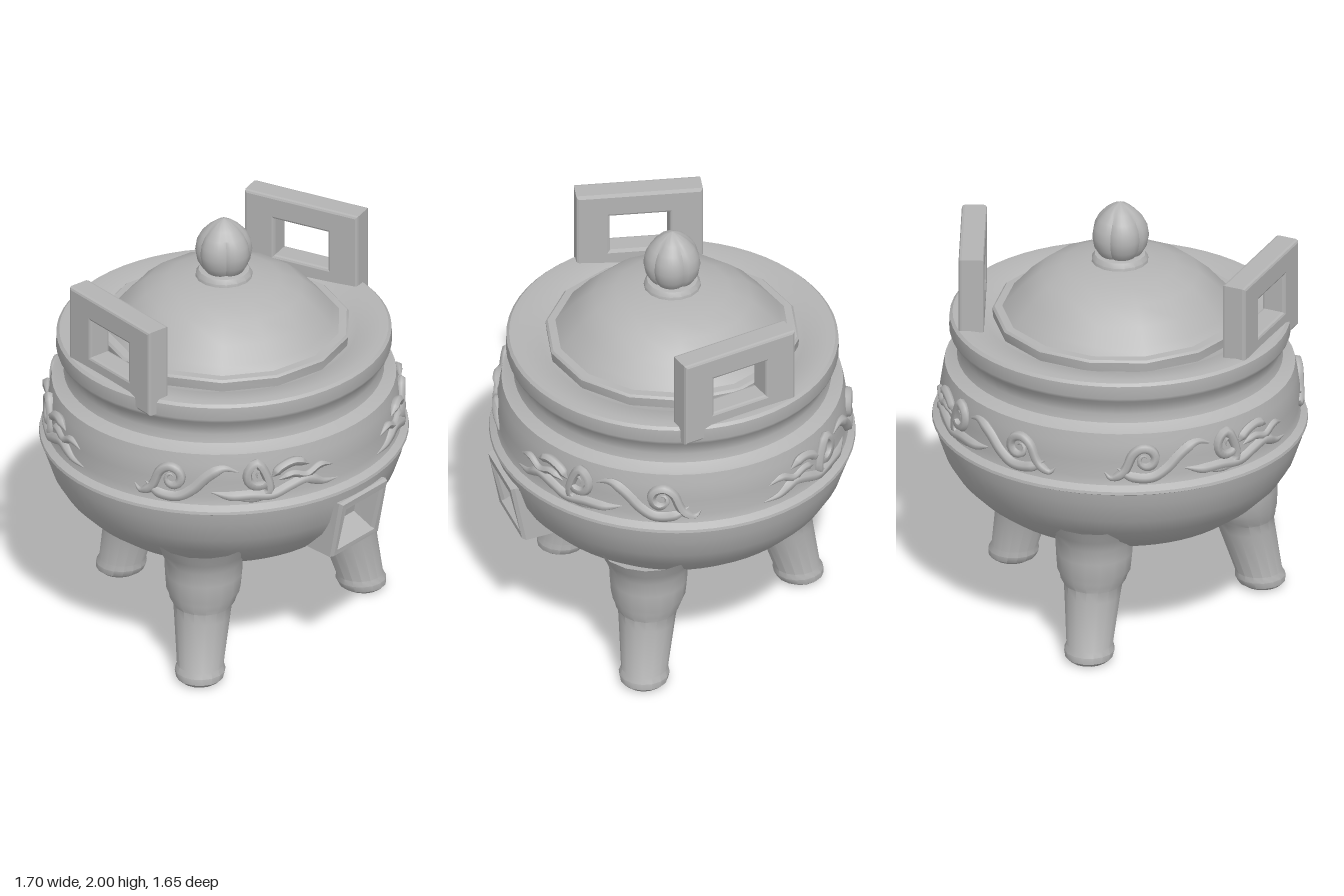
import * as THREE from 'three';
import { toCreasedNormals } from 'three/addons/utils/BufferGeometryUtils.js';

const stone = new THREE.MeshStandardMaterial({ color: 0xb4b4b4 });
stone.name = 'plain grey';

const DEPTH = 0.97; // the vessel is slightly shallower than wide
const rad = THREE.MathUtils.degToRad;

function add(parent, name, geometry) {
  const mesh = new THREE.Mesh(geometry, stone);
  mesh.name = name;
  parent.add(mesh);
  return mesh;
}

function lathe(profile, segments) {
  return new THREE.LatheGeometry(profile.map(([r, y]) => new THREE.Vector2(r, y)), segments);
}

// Round belly, belt, neck and rim, with a window left open for the front port
function bodyGeometry() {
  const flat = lathe([
    [0.001, 0.42], [0.2, 0.43], [0.4, 0.475], [0.57, 0.545], [0.66, 0.61], [0.74, 0.69], [0.79, 0.77],
    [0.825, 0.87], [0.835, 0.925], [0.848, 0.932], [0.845, 0.945], [0.815, 0.965], [0.805, 1.0], [0.812, 1.08],
    [0.8, 1.16], [0.79, 1.21], [0.775, 1.215], [0.735, 1.24], [0.725, 1.28], [0.735, 1.33], [0.765, 1.36],
    [0.77, 1.375], [0.768, 1.435], [0.755, 1.447], [0.72, 1.45], [0.61, 1.435], [0.57, 1.41], [0.001, 1.41],
  ], 60).toNonIndexed();
  flat.scale(1, 1, DEPTH);
  const p = flat.attributes.position.array;
  const kept = [];
  for (let i = 0; i < p.length; i += 9) {
    const x = (p[i] + p[i + 3] + p[i + 6]) / 3;
    const y = (p[i + 1] + p[i + 4] + p[i + 7]) / 3;
    const z = (p[i + 2] + p[i + 5] + p[i + 8]) / 3;
    const inWindow = z > 0 && y > 0.61 && y < 0.87 && Math.abs(Math.atan2(x, z / DEPTH)) < rad(12);
    if (!inWindow) for (let k = 0; k < 9; k++) kept.push(p[i + k]);
  }
  const g = new THREE.BufferGeometry();
  g.setAttribute('position', new THREE.Float32BufferAttribute(kept, 3));
  return toCreasedNormals(g, 0.6);
}

// Square port: a loft through rectangles, out along the frame and back into the recess
function portGeometry() {
  const rings = [ // half width, bottom y, top y, z at bottom, z at top
    [0.155, 0.6, 0.87, 0.58, 0.7], [0.163, 0.592, 0.882, 0.75, 0.805], [0.155, 0.6, 0.875, 0.768, 0.822],
    [0.132, 0.622, 0.846, 0.768, 0.82], [0.122, 0.632, 0.838, 0.755, 0.805], [0.105, 0.69, 0.825, 0.67, 0.7],
  ];
  const corners = rings.map(([w, y0, y1, z0, z1]) => [[-w, y0, z0], [w, y0, z0], [w, y1, z1], [-w, y1, z1]]);
  const pos = [];
  const quad = (a, b, c, d) => pos.push(...a, ...b, ...c, ...a, ...c, ...d);
  for (let k = 0; k < corners.length - 1; k++) {
    for (let i = 0; i < 4; i++) {
      const j = (i + 1) % 4;
      quad(corners[k][i], corners[k][j], corners[k + 1][j], corners[k + 1][i]);
    }
  }
  quad(...corners[corners.length - 1]);
  const g = new THREE.BufferGeometry();
  g.setAttribute('position', new THREE.Float32BufferAttribute(pos, 3));
  return toCreasedNormals(g, 0.3);
}

// Splayed leg: a turned profile sheared outward towards the foot
function legGeometry(azimuth, footRadius) {
  const g = lathe([
    [0.001, 0], [0.085, 0.002], [0.108, 0.02], [0.115, 0.05], [0.106, 0.075], [0.128, 0.3], [0.134, 0.35],
    [0.15, 0.375], [0.155, 0.395], [0.168, 0.42], [0.175, 0.5], [0.178, 0.57], [0.2, 0.62], [0.23, 0.68],
  ], 16);
  const p = g.attributes.position;
  for (let i = 0; i < p.count; i++) {
    const y = p.getY(i);
    const out = footRadius - 0.1 * Math.min(y / 0.4, 1.1);
    p.setX(i, p.getX(i) + Math.sin(azimuth) * out);
    p.setZ(i, p.getZ(i) + Math.cos(azimuth) * out);
  }
  return toCreasedNormals(g, 0.6);
}

// Square loop handle
function handleGeometry() {
  const rect = (path, w, y0, y1) =>
    path.moveTo(-w, y0).lineTo(w, y0).lineTo(w, y1).lineTo(-w, y1).closePath();
  const shape = rect(new THREE.Shape(), 0.275, 1.39, 1.79);
  shape.holes.push(rect(new THREE.Path(), 0.148, 1.49, 1.7));
  const g = new THREE.ExtrudeGeometry(shape, {
    depth: 0.086, bevelEnabled: true, bevelThickness: 0.014, bevelSize: 0.012, bevelSegments: 2,
  });
  return g.translate(0, 0, -0.043);
}

// Tapered cloud stroke following points [degrees round the belt, height]
function strokeGeometry(points, width, centre, side) {
  const path = new THREE.CatmullRomCurve3(points.map(([u, y]) => {
    const a = rad(centre + u) * side;
    return new THREE.Vector3(Math.sin(a) * 0.812, y, Math.cos(a) * 0.812 * DEPTH);
  }));
  const steps = 36, sides = 6;
  const g = new THREE.TubeGeometry(path, steps, width, sides);
  const p = g.attributes.position;
  const v = new THREE.Vector3();
  for (let i = 0; i <= steps; i++) {
    const t = i / steps;
    const c = path.getPointAt(t);
    const taper = Math.min(1, 0.1 + 4 * t, 0.1 + 6 * (1 - t));
    for (let j = 0; j <= sides; j++) {
      const n = i * (sides + 1) + j;
      v.fromBufferAttribute(p, n).sub(c).multiplyScalar(taper).add(c);
      p.setXYZ(n, v.x, v.y, v.z);
    }
  }
  g.computeVertexNormals();
  return g;
}

// Spiral curl that runs out into a tail
function curl(u, y, size, start, turn, tail) {
  const points = [];
  for (let i = 0; i <= 10; i++) {
    const a = start + turn * (i / 10) * Math.PI * 2.6;
    const r = size * (0.2 + 0.8 * i / 10);
    points.push([u + Math.cos(a) * r / 0.0143, y + Math.sin(a) * r]);
  }
  return points.concat(tail);
}

// One cloud scroll: strokes with their widths
const cloudStrokes = [
  [[[-35, 1.0], [-29, 1.01], [-23, 1.05], [-17, 1.03], [-11, 1.0], [-4, 1.01], [3, 1.01], [9, 1.03]], 0.025],
  [[[-33, 1.08], [-28, 1.1], [-23, 1.07], [-18, 1.09], [-13, 1.07]], 0.018],
  [curl(-7, 1.1, 0.07, -0.5, 1, [[-10, 1.02], [-3, 0.99], [2, 1.0]]), 0.022],
  [curl(22, 1.09, 0.062, 2.4, -1, [[29, 1.03], [33, 1.0], [35, 1.03]]), 0.022],
  [[[0, 1.13], [5, 1.15], [10, 1.11], [15, 1.04], [20, 1.0], [27, 1.01], [31, 1.05]], 0.026],
  [[[-24, 1.12], [-19, 1.15], [-14, 1.13], [-11, 1.09]], 0.022],
];

// Lotus-bud knob with rounded petals
function budGeometry() {
  const g = lathe([
    [0.001, 1.73], [0.08, 1.735], [0.098, 1.755], [0.118, 1.79], [0.127, 1.84], [0.12, 1.885],
    [0.1, 1.925], [0.068, 1.96], [0.035, 1.985], [0.001, 2],
  ], 40);
  const p = g.attributes.position;
  for (let i = 0; i < p.count; i++) {
    const a = Math.atan2(p.getX(i), p.getZ(i));
    const k = 0.9 + 0.13 * Math.sqrt(Math.abs(Math.cos(a * 2.5 + 0.4)));
    p.setX(i, p.getX(i) * k);
    p.setZ(i, p.getZ(i) * k);
  }
  return toCreasedNormals(g, 0.6);
}

export function createModel() {
  const model = new THREE.Group();
  model.name = 'tripodCenser';

  add(model, 'body', bodyGeometry());
  add(model, 'frontPort', portGeometry());

  // Domed lid with a thin flange and a collar under the knob
  add(model, 'lid', toCreasedNormals(lathe([
    [0.57, 1.42], [0.575, 1.465], [0.565, 1.475], [0.53, 1.478], [0.5, 1.51], [0.44, 1.58],
    [0.36, 1.65], [0.26, 1.69], [0.15, 1.71], [0.001, 1.72],
  ], 14), 0.6));
  add(model, 'knobCollar', toCreasedNormals(lathe([
    [0.13, 1.7], [0.128, 1.725], [0.115, 1.745], [0.09, 1.75], [0.001, 1.75],
  ], 16), 0.6));
  add(model, 'knob', budGeometry());

  // Two front legs and one at the back
  add(model, 'leftLeg', legGeometry(rad(60), 0.67));
  add(model, 'rightLeg', legGeometry(rad(-60), 0.67));
  add(model, 'backLeg', legGeometry(Math.PI, 0.61));

  for (const side of [1, -1]) {
    const label = side > 0 ? 'left' : 'right';
    const handle = add(model, label + 'Handle', handleGeometry());
    handle.position.set(side * 0.665, 0, -0.066);
    handle.rotation.y = side > 0 ? -1.365 : 1.365 - Math.PI;

    // Cloud scrolls round the belt
    for (const centre of [45, 137]) {
      const scroll = new THREE.Group();
      scroll.name = label + (centre < 90 ? 'Front' : 'Back') + 'CloudScroll';
      for (const [points, width] of cloudStrokes) {
        add(scroll, 'cloudStroke', strokeGeometry(points, width, centre, side));
      }
      model.add(scroll);
    }
  }
  return model;
}
